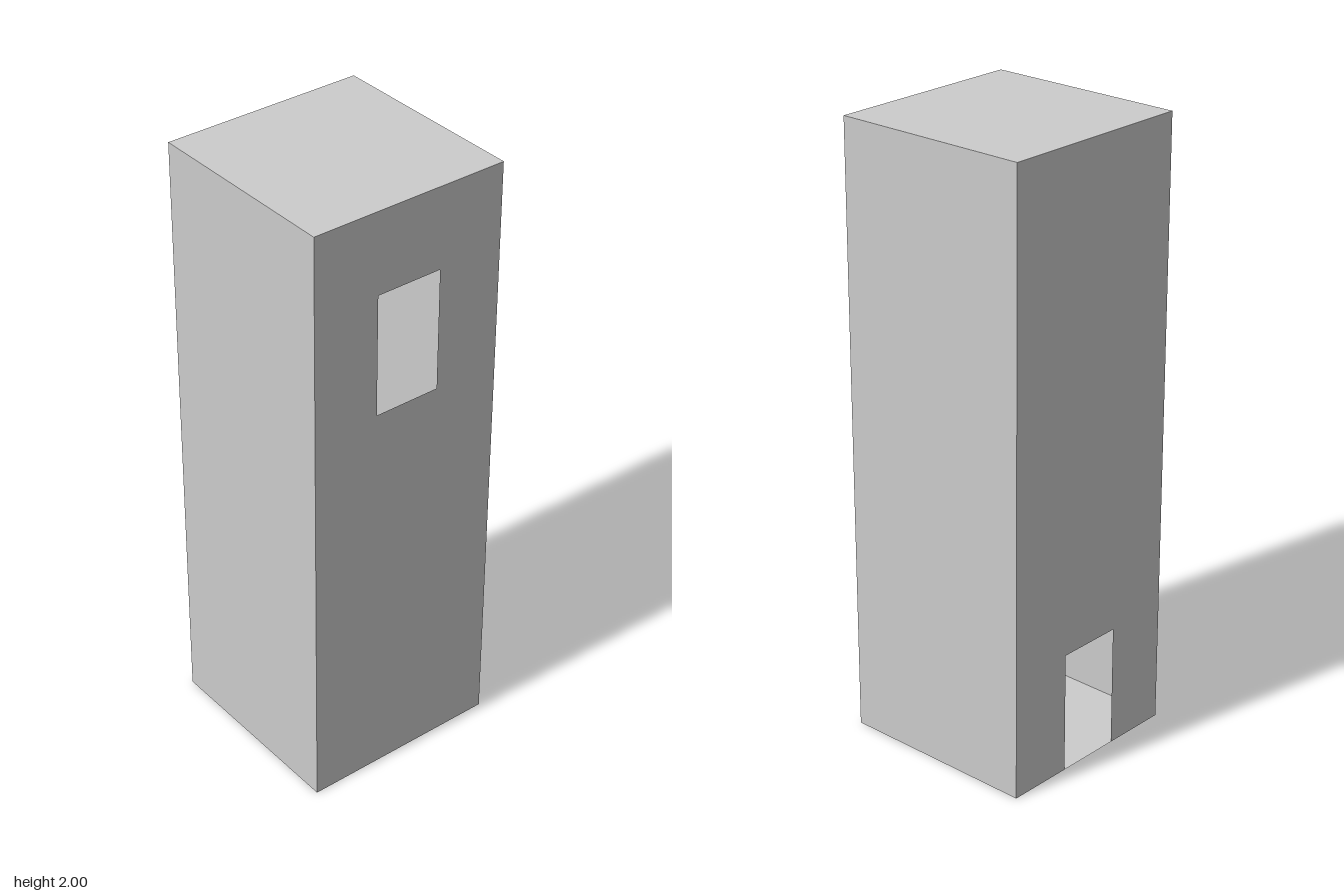
import * as THREE from 'three';

const H = 2, R = 1 / 3;           // tower height and half width
const W = 1 / 9, OPEN = 0.4;      // half width and height of the openings
const SILL = 4 / 3;               // bottom of the window

const shape = (pts) => new THREE.Shape(pts.map(([x, y]) => new THREE.Vector2(x, y)));

export function createModel() {
  const tower = new THREE.Group();
  tower.name = 'tower';
  const material = new THREE.MeshStandardMaterial({ color: 0xcccccc, side: THREE.DoubleSide });

  // Thin panel drawn in the XY plane, then turned and moved into place
  function panel(name, geometry, position, rx = 0, ry = 0) {
    const mesh = new THREE.Mesh(geometry, material);
    mesh.name = name;
    mesh.position.set(...position);
    mesh.rotation.set(rx, ry, 0);
    tower.add(mesh);
  }

  // Plain front and back walls
  panel('frontWall', new THREE.PlaneGeometry(2 * R, H), [0, H / 2, R]);
  panel('backWall', new THREE.PlaneGeometry(2 * R, H), [0, H / 2, -R], 0, Math.PI);

  // Wall with the high window
  const windowWall = shape([[-R, 0], [R, 0], [R, H], [-R, H]]);
  windowWall.holes.push(shape([[-W, SILL], [-W, SILL + OPEN], [W, SILL + OPEN], [W, SILL]]));
  panel('windowWall', new THREE.ShapeGeometry(windowWall), [R, 0, 0], 0, Math.PI / 2);

  // Opposite wall with the doorway cut up from the ground
  const doorWall = shape([[-R, 0], [-W, 0], [-W, OPEN], [W, OPEN], [W, 0], [R, 0], [R, H], [-R, H]]);
  panel('doorWall', new THREE.ShapeGeometry(doorWall), [-R, 0, 0], 0, -Math.PI / 2);

  // Flat roof and floor
  panel('roof', new THREE.PlaneGeometry(2 * R, 2 * R), [0, H, 0], -Math.PI / 2);
  panel('floor', new THREE.PlaneGeometry(2 * R, 2 * R), [0, 0, 0], Math.PI / 2);

  return tower;
}
